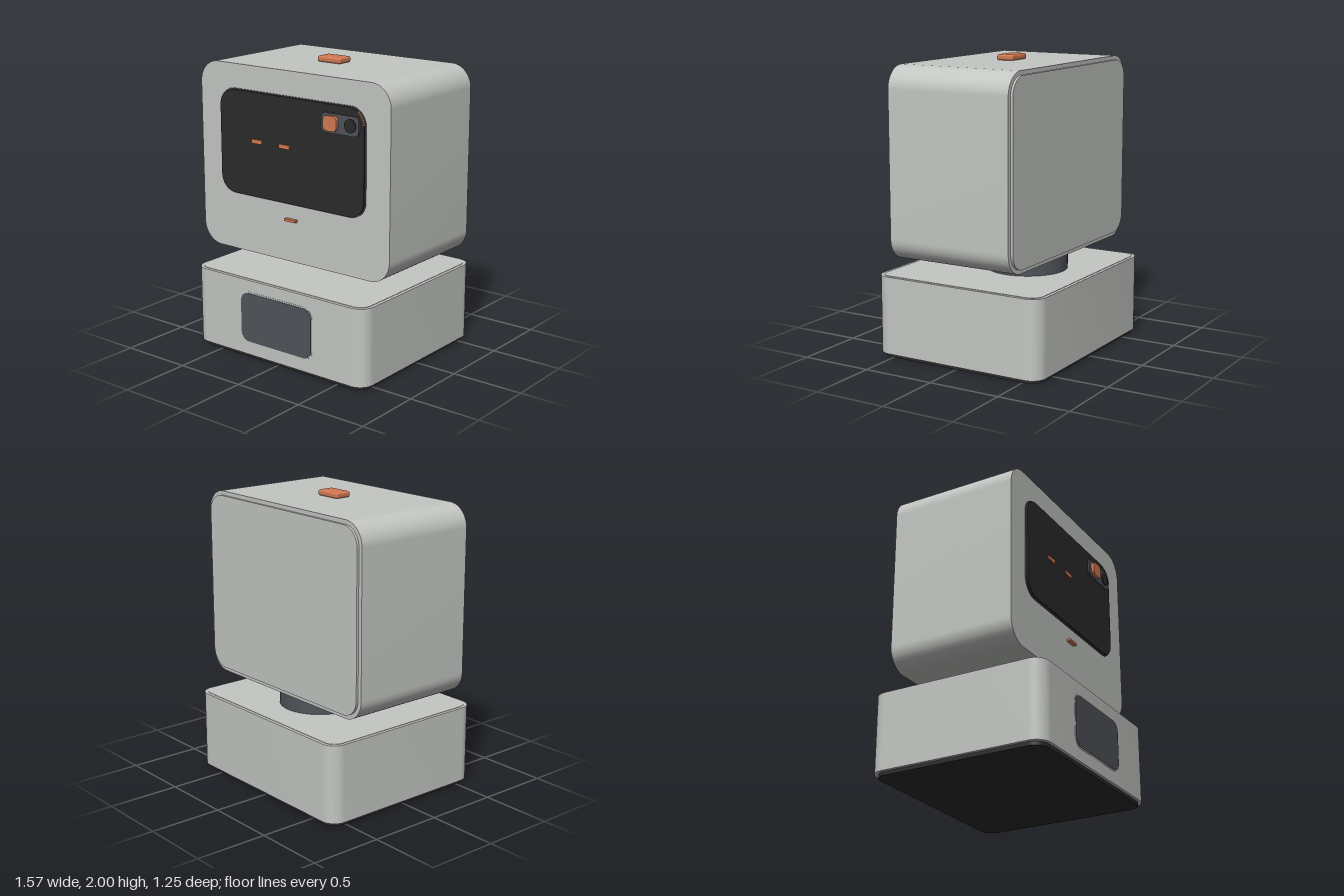
import * as THREE from 'three';
import { toCreasedNormals } from 'three/addons/utils/BufferGeometryUtils.js';
import { RoundedBoxGeometry } from 'three/addons/geometries/RoundedBoxGeometry.js';

const paint = (name, color) => {
  const m = new THREE.MeshStandardMaterial({ color });
  m.name = name;
  return m;
};

// Rounded rectangle centred on the origin
function roundedRect(w, h, r) {
  const x = w / 2, y = h / 2, s = new THREE.Shape();
  s.absarc(x - r, y - r, r, 0, Math.PI / 2);
  s.absarc(-x + r, y - r, r, Math.PI / 2, Math.PI);
  s.absarc(-x + r, -y + r, r, Math.PI, Math.PI * 1.5);
  s.absarc(x - r, -y + r, r, Math.PI * 1.5, Math.PI * 2);
  s.closePath();
  return s;
}

const extrude = (shape, depth) => toCreasedNormals(
  new THREE.ExtrudeGeometry(shape, { depth, bevelEnabled: false, curveSegments: 12 }), 0.6);

export function createModel() {
  const model = new THREE.Group();
  const shell = paint('shell grey', 0xc3c6c2);
  const graphite = paint('graphite', 0x50535a);
  const black = paint('screen black', 0x2b2b2c);
  const orange = paint('accent orange', 0xd27a52);

  const add = (parent, name, geometry, material) => {
    const mesh = new THREE.Mesh(geometry, material);
    mesh.name = name;
    parent.add(mesh);
    return mesh;
  };
  const group = (name) => {
    const g = new THREE.Group();
    g.name = name;
    model.add(g);
    return g;
  };
  // Upright plate given by its x, y and z limits
  const plate = (parent, name, [x0, x1], [y0, y1], [z0, z1], r, material) => {
    const mesh = add(parent, name, extrude(roundedRect(x1 - x0, y1 - y0, r), z1 - z0), material);
    mesh.position.set((x0 + x1) / 2, (y0 + y1) / 2, z0);
  };
  // Flat slab lying between two heights
  const slab = (parent, name, w, d, y0, y1, r, material) => {
    const geometry = extrude(roundedRect(w, d, r), y1 - y0).rotateX(-Math.PI / 2);
    add(parent, name, geometry, material).position.y = y0;
  };

  // Base with foot, lid and front window
  const base = group('base');
  slab(base, 'foot', 1.4, 1.21, 0, 0.03, 0.09, black);
  slab(base, 'baseShell', 1.445, 1.25, 0.025, 0.555, 0.1, shell);
  slab(base, 'baseLid', 1.4, 1.205, 0.555, 0.558, 0.08, shell);
  plate(base, 'windowRim', [-0.308, 0.308], [0.11, 0.475], [0.624, 0.627], 0.075, shell);
  plate(base, 'frontWindow', [-0.3, 0.3], [0.12, 0.465], [0.624, 0.63], 0.065, graphite);

  // Swivel neck, set towards the back
  const neck = add(model, 'neck', new THREE.CylinderGeometry(0.275, 0.275, 0.16, 64), graphite);
  neck.position.set(0, 0.62, -0.125);

  // Head shell, stepped back cover and top button
  const head = group('head');
  plate(head, 'headShell', [-0.785, 0.785], [0.685, 1.96], [-0.446, 0.446], 0.15, shell);
  plate(head, 'backCover', [-0.757, 0.757], [0.713, 1.932], [-0.462, -0.446], 0.125, shell);
  const button = add(head, 'topButton', new RoundedBoxGeometry(0.19, 0.04, 0.122, 3, 0.014), orange);
  button.position.set(0, 1.98, 0);

  // Screen with its bezel
  const face = group('face');
  plate(face, 'screenBezel', [-0.607, 0.602], [1.077, 1.797], [0.444, 0.452], 0.122, graphite);
  plate(face, 'screen', [-0.6, 0.595], [1.085, 1.79], [0.446, 0.463], 0.115, black);

  // Eyes and status light
  for (const x of [-0.28, -0.045])
    plate(face, 'eye', [x - 0.045, x + 0.045], [1.449, 1.476], [0.462, 0.47], 0.008, orange);
  plate(face, 'statusLight', [-0.048, 0.045], [0.965, 0.982], [0.444, 0.472], 0.003, orange);

  // Corner accent following the screen edge
  const arc = new THREE.Shape();
  arc.absarc(0, 0, 0.119, 0.1, 0.95, false);
  arc.absarc(0, 0, 0.113, 0.95, 0.1, true);
  arc.closePath();
  add(face, 'cornerAccent', extrude(arc, 0.006), orange).position.set(0.48, 1.675, 0.458);

  // Camera strip with square key and round lens
  const strip = group('cameraStrip');
  plate(strip, 'cameraPlate', [0.265, 0.562], [1.61, 1.737], [0.462, 0.474], 0.035, graphite);
  plate(strip, 'squareKey', [0.295, 0.402], [1.625, 1.723], [0.473, 0.495], 0.03, orange);
  const lens = add(strip, 'lens', new THREE.CylinderGeometry(0.044, 0.044, 0.012, 32), black);
  lens.rotation.x = Math.PI / 2;
  lens.position.set(0.498, 1.675, 0.476);

  return model;
}
